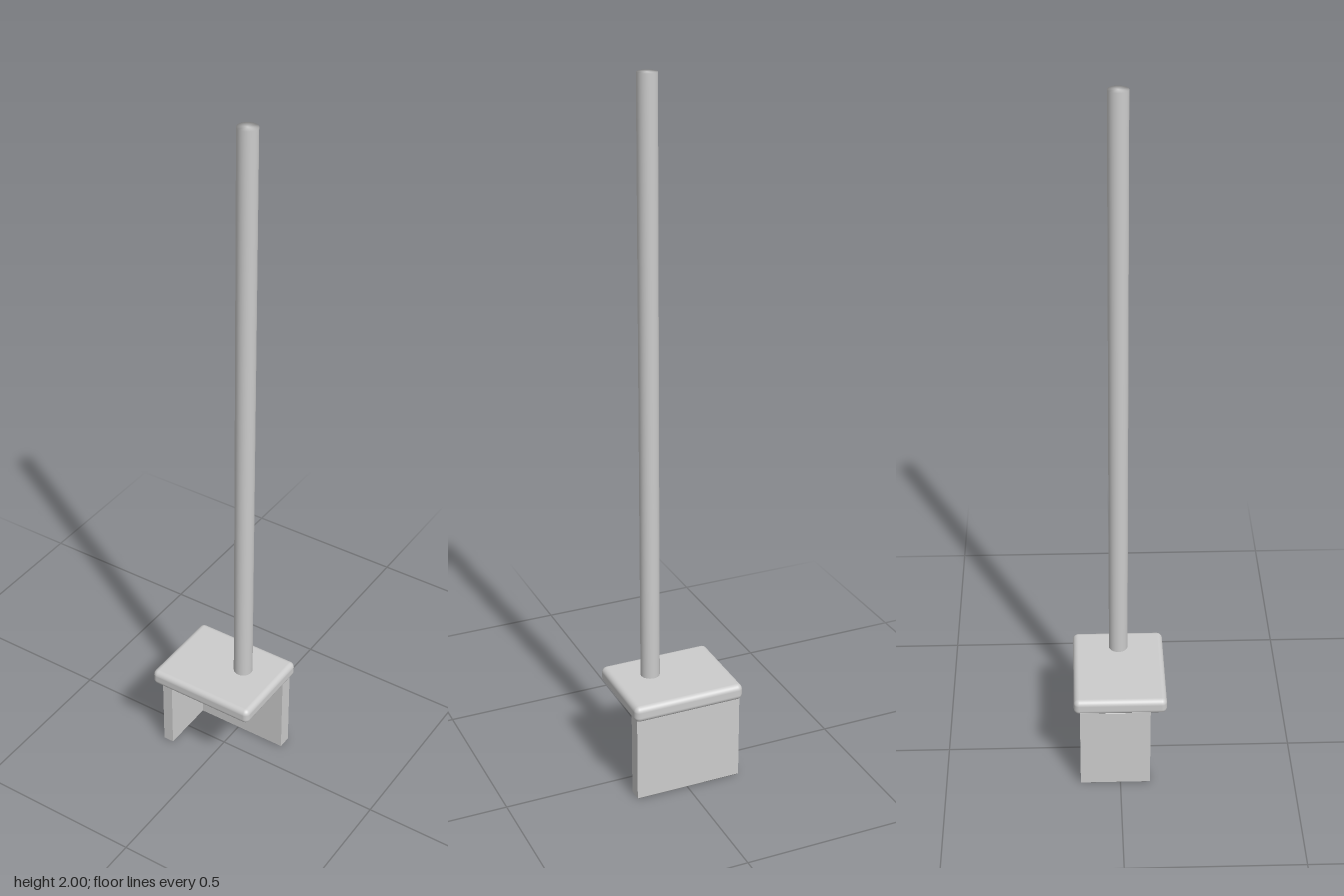
import * as THREE from 'three';
import { mergeVertices } from 'three/addons/utils/BufferGeometryUtils.js';
import { RoundedBoxGeometry } from 'three/addons/geometries/RoundedBoxGeometry.js';

const material = new THREE.MeshStandardMaterial({ color: 0xcccccc });

function addPart(group, name, geometry, x, y, z) {
  const mesh = new THREE.Mesh(geometry, material);
  mesh.name = name;
  mesh.position.set(x, y, z);
  group.add(mesh);
}

// Share the vertices across edges so the shading runs smoothly over the rims
function smooth(geometry) {
  geometry.deleteAttribute('normal');
  geometry.deleteAttribute('uv');
  const merged = mergeVertices(geometry, 1e-4);
  merged.computeVertexNormals();
  return merged;
}

export function createModel() {
  const group = new THREE.Group();

  // L-shaped base: a long back wall and one short side wall, open at front and left
  const corners = [
    [-0.158, -0.114], [0.153, -0.114], [0.153, -0.075],
    [-0.127, -0.075], [-0.127, 0.085], [-0.158, 0.085],
  ];
  const outline = new THREE.Shape(corners.map(([x, z]) => new THREE.Vector2(x, -z)).reverse());
  const bevel = 0.004;
  const walls = new THREE.ExtrudeGeometry(outline, {
    depth: 0.262 - 2 * bevel,
    bevelSize: bevel, bevelThickness: bevel, bevelOffset: -bevel, bevelSegments: 1,
  });
  walls.rotateX(-Math.PI / 2);
  addPart(group, 'baseWalls', walls, 0, bevel, 0);

  // Rounded top plate
  addPart(group, 'topPlate', new RoundedBoxGeometry(0.326, 0.047, 0.262, 4, 0.016), 0, 0.2785, 0);

  // Tall rod, hovering just above the plate
  addPart(group, 'rod', smooth(new THREE.CylinderGeometry(0.027, 0.027, 1.678, 32)), 0.065, 1.161, 0);

  return group;
}
